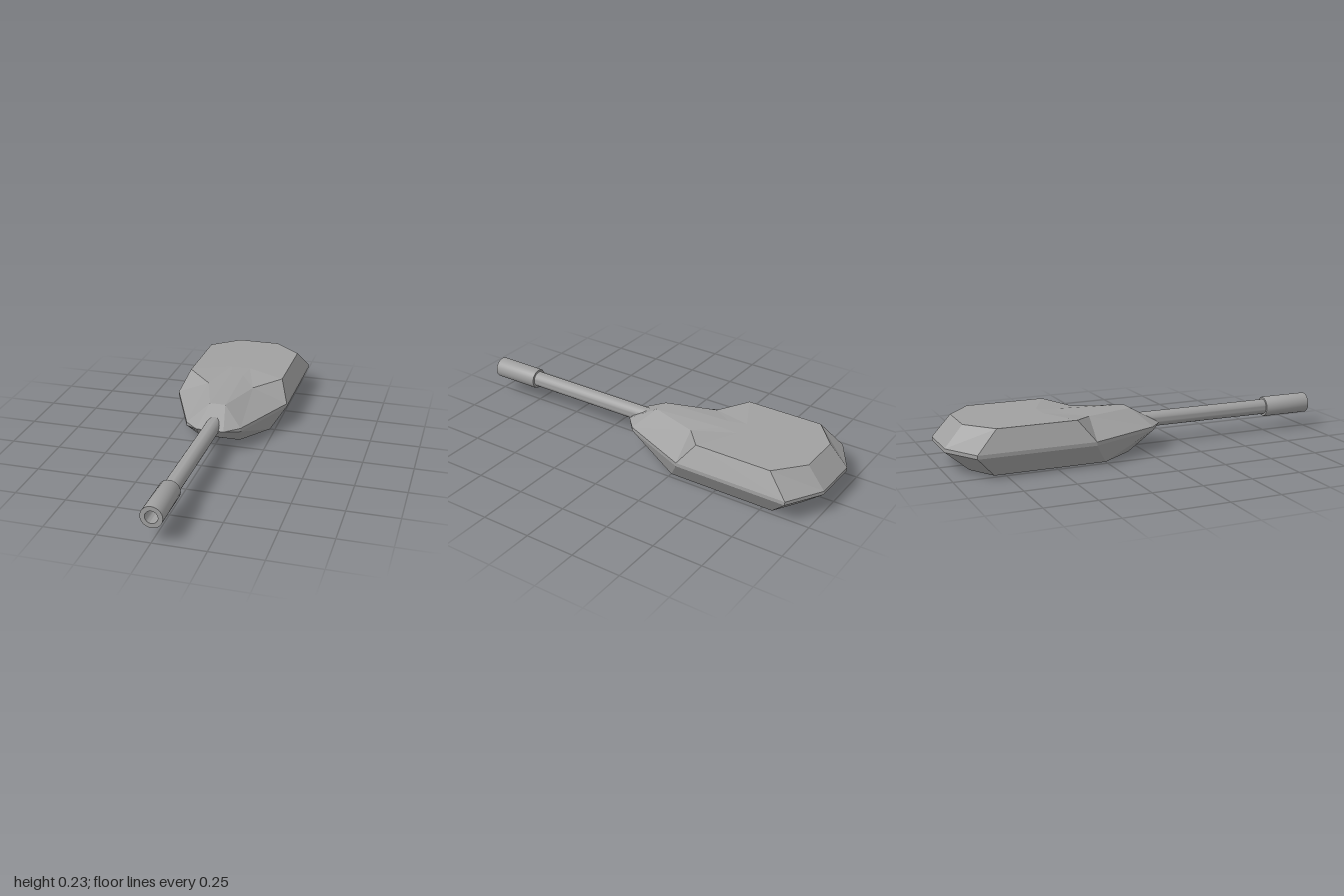
import * as THREE from 'three';
import { toCreasedNormals } from 'three/addons/utils/BufferGeometryUtils.js';

// Right half of each ring, listed from the nose to the rear
const ROOF = [[0.04, 0.205, -0.04], [0.12, 0.205, -0.29], [0.25, 0.226, -0.4], [0.25, 0.226, -0.79], [0.11, 0.226, -0.91]];
const BELT_TOP = [[0.07, 0.123, 0.105], [0.14, 0.123, 0.04], [0.295, 0.123, -0.32], [0.295, 0.123, -0.895], [0.12, 0.123, -1]];
const BELT_LOW = [[0.045, 0.07, 0.06], [0.14, 0.105, 0.04], [0.295, 0.105, -0.32], [0.295, 0.105, -0.895], [0.12, 0.105, -1]];
const BASE = [[0.035, 0, -0.08], [0.105, 0, -0.08], [0.225, 0, -0.25], [0.225, 0, -0.8], [0.09, 0, -0.88]];
// Shallow crease in the middle of the roof
const CREASE = [[0.035, 0.22, -0.41], [0.05, 0.226, -0.5]];

const mirror = ([x, y, z]) => [-x, y, z];
const closeRing = (half) => [...half, ...half.map(mirror).reverse()];

function facetedMesh(name, triangles, material) {
  const geometry = new THREE.BufferGeometry();
  geometry.setAttribute('position', new THREE.Float32BufferAttribute(triangles.flat(2), 3));
  geometry.computeVertexNormals();
  const mesh = new THREE.Mesh(geometry, material);
  mesh.name = name;
  return mesh;
}

// Wall of quads between two rings
function wall(lowHalf, highHalf) {
  const low = closeRing(lowHalf), high = closeRing(highHalf);
  return low.flatMap((a, i) => {
    const j = (i + 1) % low.length;
    // Mirror the diagonal so both sides fold the same way
    return i < 5
      ? [[a, low[j], high[i]], [low[j], high[j], high[i]]]
      : [[a, low[j], high[j]], [a, high[j], high[i]]];
  });
}

function roofTriangles() {
  const [a, b, c, d, e] = ROOF, [f, g] = CREASE;
  const half = [[a, b, f], [b, g, f], [b, c, g], [c, d, g], [d, e, g]];
  const otherHalf = half.map(([p, q, r]) => [mirror(p), mirror(r), mirror(q)]);
  const middle = [[a, f], [f, g], [g, e]].flatMap(([p, q]) => [
    [mirror(p), p, q], [mirror(p), q, mirror(q)],
  ]);
  return [...half, ...otherHalf, ...middle];
}

function baseTriangles() {
  const ring = closeRing(BASE);
  return ring.slice(1, -1).map((p, i) => [ring[0], ring[i + 2], p]);
}

// Turned part along +z from [radius, z] points
function turned(name, profile, material) {
  const points = profile.map(([r, z]) => new THREE.Vector2(r, z));
  const geometry = toCreasedNormals(new THREE.LatheGeometry(points, 32).rotateX(Math.PI / 2), 0.6);
  const mesh = new THREE.Mesh(geometry, material);
  mesh.name = name;
  return mesh;
}

export function createModel() {
  const model = new THREE.Group();
  model.name = 'turret';
  const grey = new THREE.MeshStandardMaterial({ color: 0xa0a0a0 });
  grey.name = 'grey';

  // Faceted shell
  const shell = new THREE.Group();
  shell.name = 'shell';
  shell.add(
    facetedMesh('roof', roofTriangles(), grey),
    facetedMesh('upperSlopes', wall(BELT_TOP, ROOF), grey),
    facetedMesh('belt', wall(BELT_LOW, BELT_TOP), grey),
    facetedMesh('lowerSlopes', wall(BASE, BELT_LOW), grey),
    facetedMesh('underside', baseTriangles(), grey),
  );

  // Gun with a hollow muzzle sleeve
  const gun = new THREE.Group();
  gun.name = 'gun';
  gun.position.set(0.004, 0.126, 0);
  gun.add(
    turned('barrel', [[0, -0.08], [0.039, -0.08], [0.039, 0.76]], grey),
    turned('muzzle', [[0.038, 0.747], [0.049, 0.747], [0.052, 0.752], [0.052, 1], [0.03, 1], [0.03, 0.85], [0, 0.85]], grey),
  );

  model.add(shell, gun);
  return model;
}
